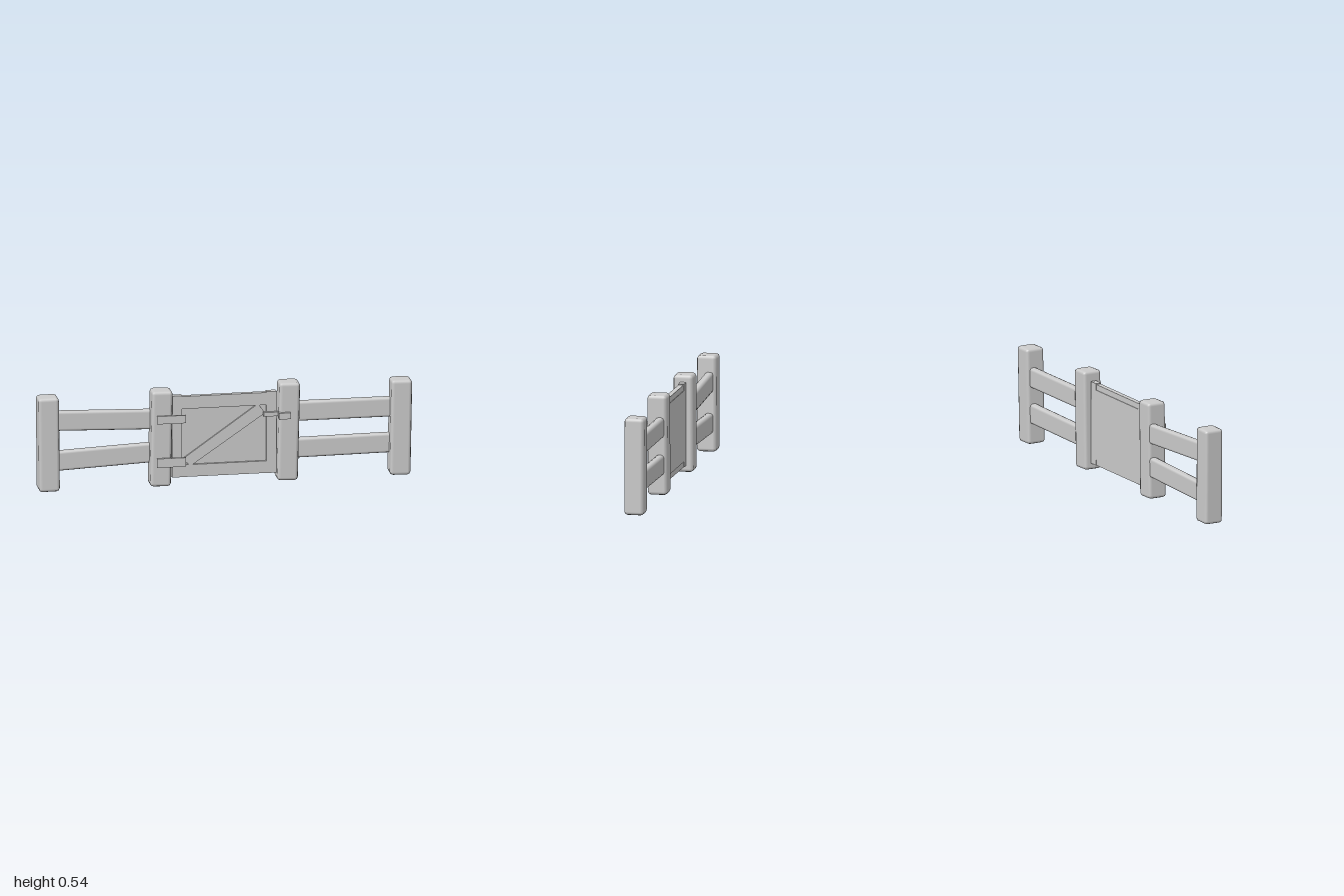
import * as THREE from 'three';
import { RoundedBoxGeometry } from 'three/addons/geometries/RoundedBoxGeometry.js';

export function createModel() {
  const model = new THREE.Group();
  const grey = new THREE.MeshStandardMaterial({ color: 0xcccccc });
  grey.name = 'grey';

  function add(name, geometry, x, y, z) {
    const mesh = new THREE.Mesh(geometry, grey);
    mesh.name = name;
    mesh.position.set(x, y, z);
    model.add(mesh);
    return mesh;
  }

  // Plain box given by its limits on each axis
  function plate(name, [x0, x1], [y0, y1], [z0, z1]) {
    return add(name, new THREE.BoxGeometry(x1 - x0, y1 - y0, z1 - z0),
      (x0 + x1) / 2, (y0 + y1) / 2, (z0 + z1) / 2);
  }

  // Posts with softened edges, each leaning a little: name, x, height, lean
  const posts = [
    ['rightEndPost', -0.943, 0.513, 0.01, 0],
    ['rightGatePost', -0.343, 0.520, -0.02, 0],
    ['leftGatePost', 0.336, 0.534, -0.024, 0],
    ['leftEndPost', 0.936, 0.518, -0.02, -0.008],
  ];
  for (const [name, x, height, lean, pitch] of posts) {
    const post = add(name, new RoundedBoxGeometry(0.111, height, 0.106, 1, 0.018), x, height / 2 + 0.002, -0.008);
    post.rotation.set(pitch, 0, lean);
  }

  // Fence rails run between two centre points [x, y, z]
  function rail(name, from, to) {
    const a = new THREE.Vector3(...from), b = new THREE.Vector3(...to);
    const mid = a.clone().add(b).multiplyScalar(0.5);
    const mesh = add(name, new RoundedBoxGeometry(a.distanceTo(b), 0.108, 0.044, 1, 0.015), mid.x, mid.y, mid.z);
    mesh.quaternion.setFromUnitVectors(new THREE.Vector3(1, 0, 0), b.sub(a).normalize());
  }
  rail('rightUpperRail', [-0.93, 0.376, -0.022], [-0.36, 0.355, -0.033]);
  rail('rightLowerRail', [-0.93, 0.154, -0.022], [-0.36, 0.176, -0.033]);
  rail('leftUpperRail', [0.35, 0.365, -0.024], [0.92, 0.364, -0.024]);
  rail('leftLowerRail', [0.35, 0.164, -0.024], [0.92, 0.169, -0.024]);

  // Gate: frame around a recessed panel
  plate('gateRightStile', [-0.282, -0.228], [0.04, 0.485], [-0.026, 0.006]);
  plate('gateLeftStile', [0.222, 0.276], [0.04, 0.485], [-0.026, 0.006]);
  plate('gateTopRail', [-0.228, 0.222], [0.412, 0.48], [-0.023, 0.004]);
  plate('gateBottomRail', [-0.228, 0.222], [0.04, 0.106], [-0.023, 0.004]);
  plate('gatePanel', [-0.235, 0.23], [0.07, 0.45], [-0.026, -0.008]);

  // Diagonal brace with angled ends
  const corners = [[-0.222, 0.14], [-0.216, 0.128], [-0.19, 0.105], [-0.172, 0.105], [0.211, 0.365], [0.205, 0.382], [0.185, 0.41], [0.166, 0.412]];
  const shape = new THREE.Shape(corners.map(([x, y]) => new THREE.Vector2(x, y)));
  add('gateBrace', new THREE.ExtrudeGeometry(shape, { depth: 0.014, bevelEnabled: false }), 0, 0, -0.012);

  // Strap hinges
  plate('upperHinge', [-0.371, -0.217], [0.35, 0.393], [0.048, 0.059]);
  plate('lowerHinge', [-0.371, -0.217], [0.112, 0.161], [0.048, 0.059]);

  // Latch bar on the gate and its catch on the post
  plate('latchBar', [0.205, 0.295], [0.354, 0.376], [0, 0.024]);
  plate('latchCatch', [0.28, 0.342], [0.345, 0.379], [0.024, 0.062]);

  return model;
}
